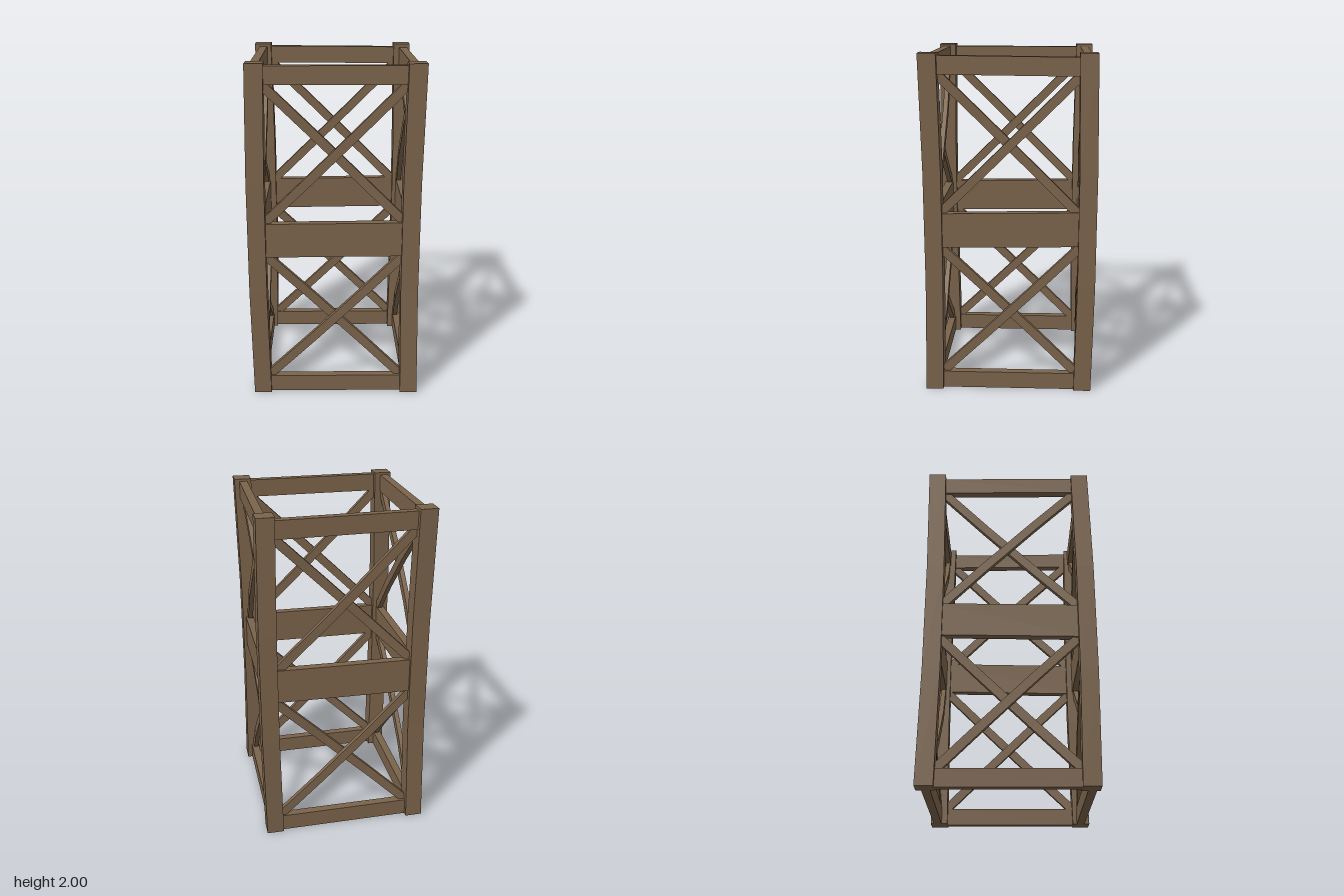
import * as THREE from 'three';

// Rectangular beam swept through a few points; w lies in the local xy plane, d along z
function beam(name, points, w, d, material) {
  const n = points.length - 1;
  const geo = new THREE.BoxGeometry(1, 1, 1, 1, n, 1);
  const along = points[n].clone().sub(points[0]).setZ(0).normalize();
  const side = new THREE.Vector3(along.y, -along.x, 0);
  const pos = geo.attributes.position;
  const v = new THREE.Vector3();
  for (let i = 0; i < pos.count; i++) {
    const k = Math.round((pos.getY(i) + 0.5) * n);
    v.copy(points[k]).addScaledVector(side, pos.getX(i) * w);
    v.z += pos.getZ(i) * d;
    pos.setXYZ(i, v.x, v.y, v.z);
  }
  const flat = geo.toNonIndexed();
  flat.computeVertexNormals();
  const mesh = new THREE.Mesh(flat, material);
  mesh.name = name;
  return mesh;
}

export function createModel() {
  const model = new THREE.Group();
  model.name = 'timberTower';
  const wood = new THREE.MeshStandardMaterial({ color: 0x7a634b, flatShading: true });
  wood.name = 'weathered wood';
  const V = (x, y, z) => new THREE.Vector3(x, y, z);

  // Corner posts: two opposite ones bend inward, the other two outward
  for (const sx of [-1, 1]) for (const sz of [-1, 1]) {
    const inward = sx === sz;
    const end = inward ? 0.449 : 0.438;
    const mid = inward ? 0.438 : 0.449;
    const pts = [end, mid, mid, end].map((c, i) => V(sx * c, i * 2 / 3, sz * c));
    model.add(beam('post', pts, 0.102, 0.102, wood));
  }

  // Rail heights at the corners, going round the tower
  const midY = [0.982, 0.988, 1.003, 0.993];
  const topY = [1.934, 1.934, 1.925, 1.932];
  const railZ = 0.446;

  for (let s = 0; s < 4; s++) {
    const wall = new THREE.Group();
    wall.name = 'wall';
    wall.rotation.y = s * Math.PI / 2;
    const next = (s + 1) % 4;

    // Horizontal rails
    const rail = (name, yl, yr, h) =>
      wall.add(beam(name, [V(-0.42, yl, railZ), V(0.42, yr, railZ)], h, 0.048, wood));
    rail('bottomRail', 0.051, 0.051, 0.102);
    rail('middleRail', midY[s], midY[next], 0.204);
    rail('topRail', topY[s], topY[next], 0.104);

    // Crossed braces, bowed apart so they pass each other
    for (const [y0, y1] of [[0.08, 0.9], [1.07, 1.9]]) {
      for (const dir of [1, -1]) {
        const pts = [0, 1, 2, 3].map(i => {
          const t = i / 3;
          const bow = i === 1 || i === 2 ? 0.015 * dir : 0;
          return V(dir * (-0.42 + 0.84 * t), y0 + (y1 - y0) * t, 0.441 + bow);
        });
        wall.add(beam('brace', pts, 0.052, 0.029, wood));
      }
    }
    model.add(wall);
  }
  return model;
}
